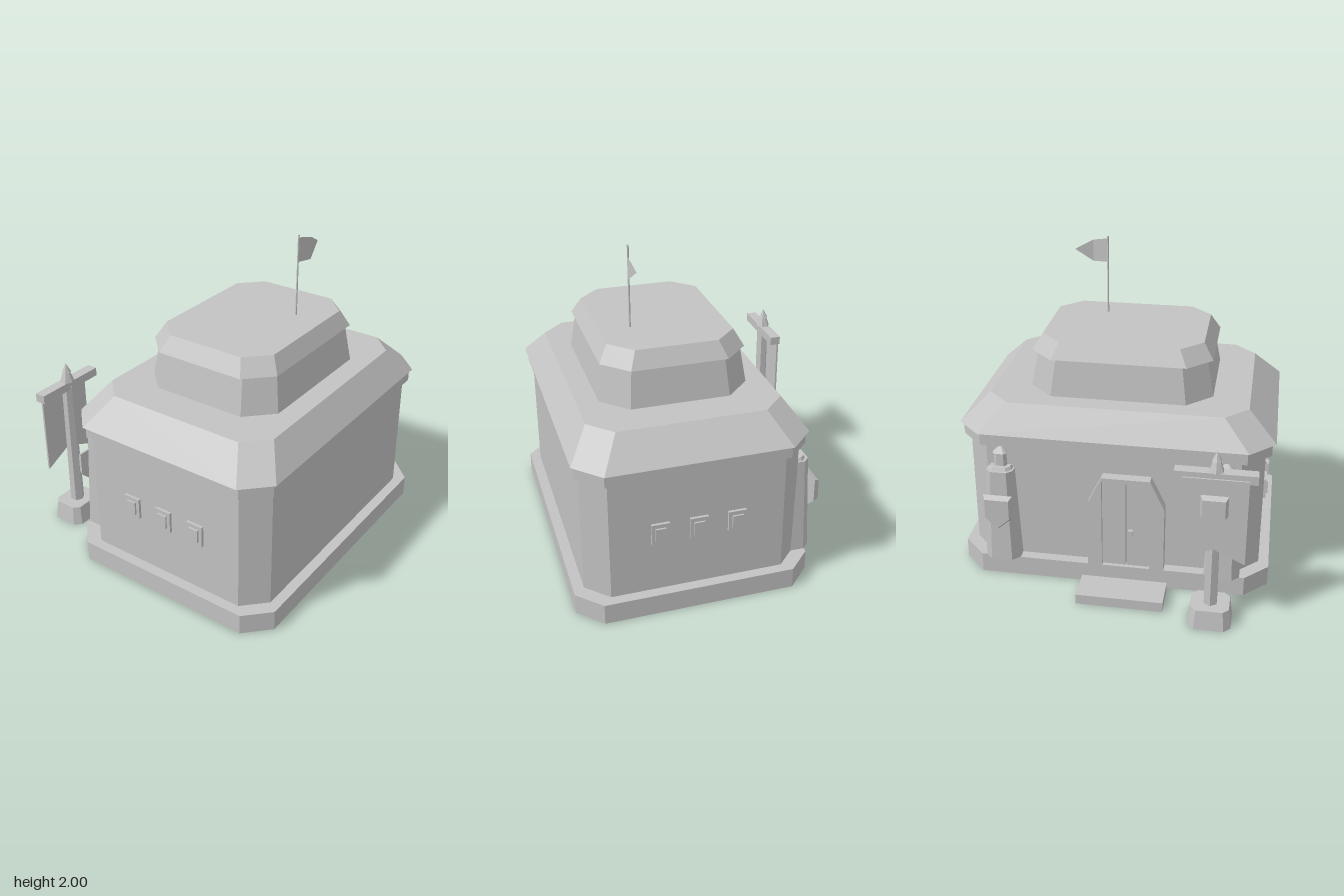
import * as THREE from 'three';
import { ConvexGeometry } from 'three/addons/geometries/ConvexGeometry.js';

const stone = new THREE.MeshStandardMaterial({ color: 0xc2c2c2, flatShading: true, side: THREE.DoubleSide });

function add(parent, name, geometry, x = 0, y = 0, z = 0) {
  const mesh = new THREE.Mesh(geometry, stone);
  mesh.name = name;
  mesh.position.set(x, y, z);
  parent.add(mesh);
  return mesh;
}

// Corners of a rectangle with clipped corners at height y
function ring(y, hx, hz, c) {
  const pts = [];
  for (const sx of [-1, 1]) for (const sz of [-1, 1]) {
    pts.push(new THREE.Vector3(sx * hx, y, sz * (hz - c)), new THREE.Vector3(sx * (hx - c), y, sz * hz));
  }
  return pts;
}

// Solid between two clipped rectangles, each given as [y, halfX, halfZ, clip]
const block = (bottom, top) => new ConvexGeometry([...ring(...bottom), ...ring(...top)]);

const toPoints = (pts) => pts.map(([x, y]) => new THREE.Vector2(x, y));
const shapeOf = (pts) => new THREE.Shape(toPoints(pts));
const plate = (shape, depth) => new THREE.ExtrudeGeometry(shape, { depth, bevelEnabled: false });
const octagon = (a, b, c) => [[-a, c - b], [c - a, -b], [a - c, -b], [a, c - b], [a, b - c], [a - c, b], [c - a, b], [-a, b - c]];

// Shield facing -z with a bevelled rim
function shield(parent, x, y, z, s) {
  const outline = [[-0.092, 0.118], [0.092, 0.118], [0.092, -0.035], [0, -0.118], [-0.092, -0.035]];
  const pts = [];
  for (const [px, py] of outline) {
    pts.push(new THREE.Vector3(px * s, py * s, 0), new THREE.Vector3(px * s * 0.82, py * s * 0.84, -0.034));
  }
  add(parent, 'shield', new ConvexGeometry(pts), x, y, z);
}

export function createModel() {
  const model = new THREE.Group();
  model.name = 'fortHouse';
  const cz = 0.19;

  // Plinth: a rim open underneath, closed by a thin floor
  const rim = shapeOf(octagon(0.985, 0.73, 0.145));
  rim.holes.push(new THREE.Path(toPoints(octagon(0.982, 0.727, 0.144))));
  add(model, 'plinthRim', plate(rim, 0.13).rotateX(-Math.PI / 2), 0, 0, cz);
  add(model, 'plinthFloor', block([0.127, 0.983, 0.728, 0.144], [0.13, 0.983, 0.728, 0.144]), 0, 0, cz);

  // Stacked body tiers
  const tiers = [
    ['walls', [0.13, 0.92, 0.665, 0.135], [0.905, 0.92, 0.665, 0.135]],
    ['cornice', [0.905, 0.957, 0.69, 0.14], [0.985, 0.957, 0.69, 0.14]],
    ['lowerRoof', [0.985, 0.98, 0.708, 0.155], [1.155, 0.805, 0.585, 0.14]],
    ['upperWalls', [1.155, 0.575, 0.455, 0.155], [1.39, 0.53, 0.42, 0.14]],
    ['upperRoof', [1.39, 0.567, 0.44, 0.15], [1.49, 0.505, 0.385, 0.135]],
  ];
  for (const [name, bottom, top] of tiers) add(model, name, block(bottom, top), 0, 0, cz);

  // Three small windows on each side
  for (const side of [-1, 1]) for (const z of [0.42, 0.188, -0.045]) {
    add(model, 'windowFrame', new THREE.BoxGeometry(0.035, 0.135, 0.11), side * 0.92, 0.523, z);
    add(model, 'windowPane', new THREE.BoxGeometry(0.03, 0.085, 0.065), side * 0.934, 0.523, z);
  }

  // Pole and folded pennant on the roof
  add(model, 'flagPole', new THREE.CylinderGeometry(0.006, 0.006, 0.51, 6), 0.169, 1.745, 0.385);
  const flag = new THREE.BufferGeometry();
  flag.setAttribute('position', new THREE.Float32BufferAttribute([
    0.17, 1.83, 0.385, 0.27, 1.825, 0.412, 0.27, 1.965, 0.412, 0.17, 1.985, 0.385, 0.385, 1.905, 0.39], 3));
  flag.setIndex([0, 1, 2, 0, 2, 3, 1, 4, 2]);
  flag.computeVertexNormals();
  add(model, 'pennant', flag);

  // Doorway on the back wall: sloped jambs either side of a double door
  const door = new THREE.Group();
  door.name = 'doorway';
  door.position.set(-0.095, 0, 0);
  model.add(door);
  for (const s of [-1, 1]) {
    const jamb = shapeOf([[s * 0.15, 0.13], [s * 0.24, 0.13], [s * 0.24, 0.57], [s * 0.15, 0.76]]);
    add(door, 'doorJamb', plate(jamb, 0.08), 0, 0, -0.541);
    const leaf = shapeOf([[s * 0.003, 0.13], [s * 0.15, 0.13], [s * 0.15, 0.73], [s * 0.003, 0.73]]);
    add(door, 'doorLeaf', plate(leaf, 0.05), 0, 0, -0.515);
  }
  add(door, 'doorLintel', new THREE.BoxGeometry(0.3, 0.03, 0.08), 0, 0.745, -0.501);
  add(door, 'doorKnob', new THREE.BoxGeometry(0.03, 0.03, 0.025), -0.03, 0.38, -0.525);
  add(model, 'step', new THREE.BoxGeometry(0.54, 0.066, 0.21), -0.093, 0.033, -0.683);

  // Tapered corner turrets, each with a shield
  for (const s of [-1, 1]) {
    const turret = new THREE.Group();
    turret.name = 'turret';
    turret.position.set(s * 0.697, 0, -0.47);
    model.add(turret);
    add(turret, 'turretShaft', block([0.13, 0.112, 0.112, 0.045], [0.75, 0.085, 0.088, 0.035]));
    add(turret, 'turretLedge', block([0.75, 0.075, 0.07, 0.03], [0.77, 0.065, 0.06, 0.025]));
    add(turret, 'turretNeck', block([0.77, 0.04, 0.036, 0.015], [0.855, 0.036, 0.032, 0.014]));
    add(turret, 'turretCap', block([0.855, 0.046, 0.042, 0.018], [0.892, 0.012, 0.01, 0.004]));
    shield(turret, 0, 0.492, -0.125, 1);
  }

  // Freestanding banner
  const banner = new THREE.Group();
  banner.name = 'banner';
  banner.position.set(-0.652, 0, -0.8);
  model.add(banner);
  add(banner, 'bannerFoot', block([0, 0.131, 0.117, 0.04], [0.125, 0.115, 0.1, 0.035]));
  add(banner, 'bannerPost', new THREE.CylinderGeometry(0.037, 0.045, 0.87, 6), 0, 0.555, 0);
  add(banner, 'crossbar', new THREE.BoxGeometry(0.475, 0.055, 0.068), 0, 0.995, -0.003);
  add(banner, 'finialBase', new THREE.CylinderGeometry(0.022, 0.047, 0.067, 6), 0, 1.055, 0);
  add(banner, 'finialTip', new THREE.ConeGeometry(0.031, 0.06, 6), 0, 1.115, 0);
  const cloth = shapeOf([[-0.19, 0.99], [-0.19, 0.44], [0, 0.53], [0.19, 0.44], [0.19, 0.99]]);
  add(banner, 'bannerCloth', plate(cloth, 0.012), 0, 0, -0.047);
  shield(banner, 0, 0.792, -0.06, 0.87);

  return model;
}
